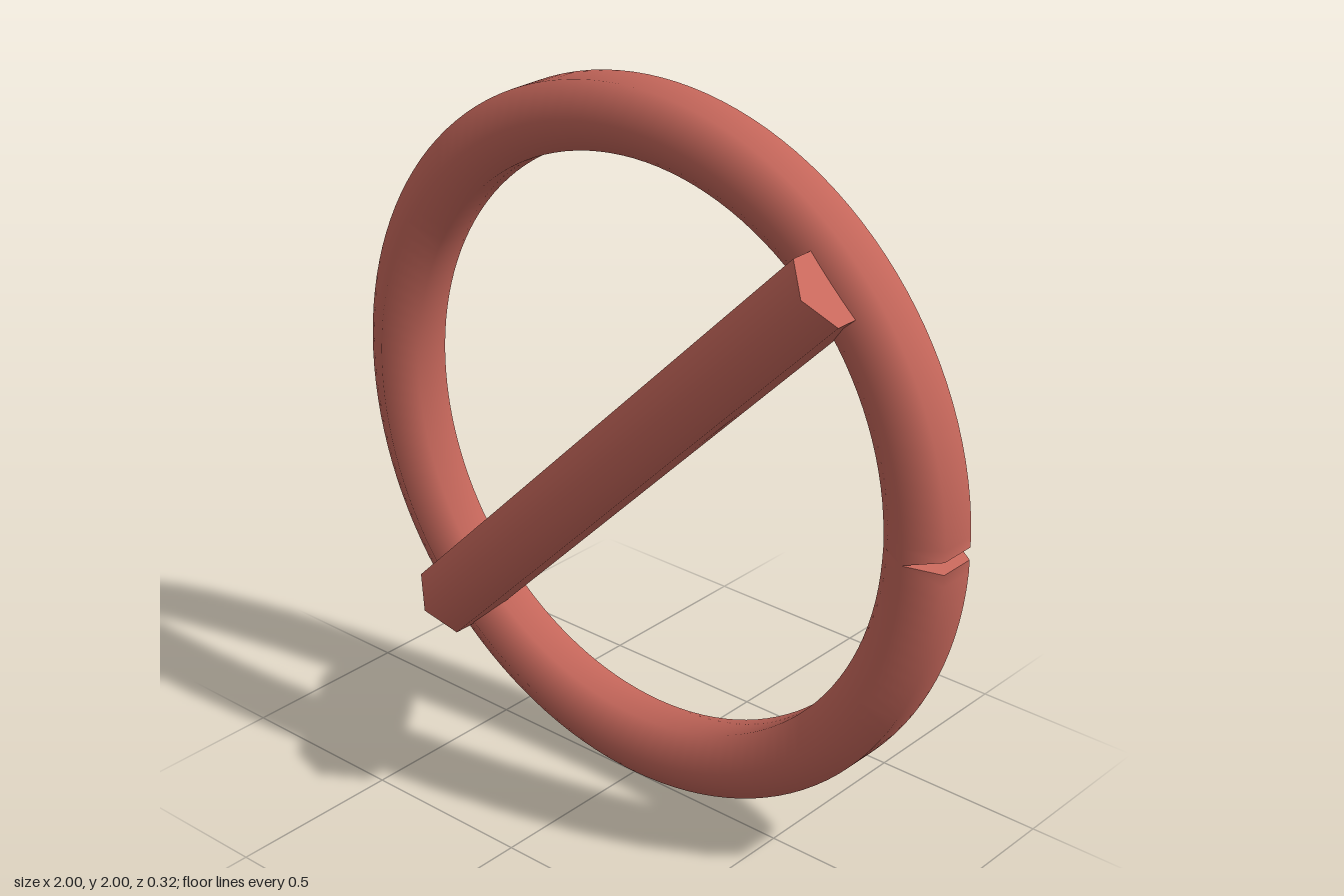
import * as THREE from 'three';

const RING_RADIUS = 0.9075, TUBE = 0.107, SIDES = 6, STEPS = 128;
const START_TILT = 0.2, END_TILT = -0.17; // end sections lean apart, leaving a notch

// Six-sided tube swept round a circle, smooth shaded, open at the notch
function ringGeometry() {
  const positions = [], normals = [], index = [];
  for (let i = 0; i <= STEPS; i++) {
    const a = (i / STEPS) * Math.PI * 2;
    const tilt = i === 0 ? START_TILT : i === STEPS ? END_TILT : 0;
    const dx = Math.cos(a + tilt), dy = Math.sin(a + tilt);
    for (let j = 0; j <= SIDES; j++) {
      const v = ((j + 0.5) / SIDES) * Math.PI * 2;
      const out = Math.cos(v), side = Math.sin(v);
      positions.push(
        RING_RADIUS * Math.cos(a) + TUBE * out * dx,
        RING_RADIUS * Math.sin(a) + TUBE * out * dy,
        TUBE * side);
      normals.push(out * dx, out * dy, side);
      if (i < STEPS && j < SIDES) {
        const p = i * (SIDES + 1) + j, q = p + SIDES + 1;
        index.push(p, q, q + 1, p, q + 1, p + 1);
      }
    }
  }
  const geometry = new THREE.BufferGeometry();
  geometry.setAttribute('position', new THREE.Float32BufferAttribute(positions, 3));
  geometry.setAttribute('normal', new THREE.Float32BufferAttribute(normals, 3));
  geometry.setIndex(index);
  return geometry;
}

export function createModel() {
  const model = new THREE.Group();
  model.name = 'barredRing';
  const red = new THREE.MeshStandardMaterial({ color: 0xc8685c });
  red.name = 'softRed';

  const add = (name, geometry, parent) => {
    const mesh = new THREE.Mesh(geometry, red);
    mesh.name = name;
    parent.add(mesh);
    return mesh;
  };

  // Ring with its two notch faces
  const ring = new THREE.Group();
  ring.name = 'ring';
  ring.position.set(0, 1, -0.053);
  model.add(ring);
  add('ringTube', ringGeometry(), ring);
  for (const [name, turn, tilt] of [
    ['upperNotchFace', Math.PI / 2, START_TILT],
    ['lowerNotchFace', -Math.PI / 2, END_TILT],
  ]) {
    const cap = new THREE.CircleGeometry(TUBE, SIDES, Math.PI / SIDES);
    cap.rotateX(turn).rotateZ(tilt).translate(RING_RADIUS, 0, 0);
    add(name, cap, ring);
  }

  // Diagonal six-sided bar lying across the front of the ring
  const bar = add('diagonalBar', new THREE.CylinderGeometry(0.114, 0.114, 1.867, 6), model);
  bar.rotation.z = -Math.PI / 4;
  bar.position.set(0, 1, 0.046);

  return model;
}
